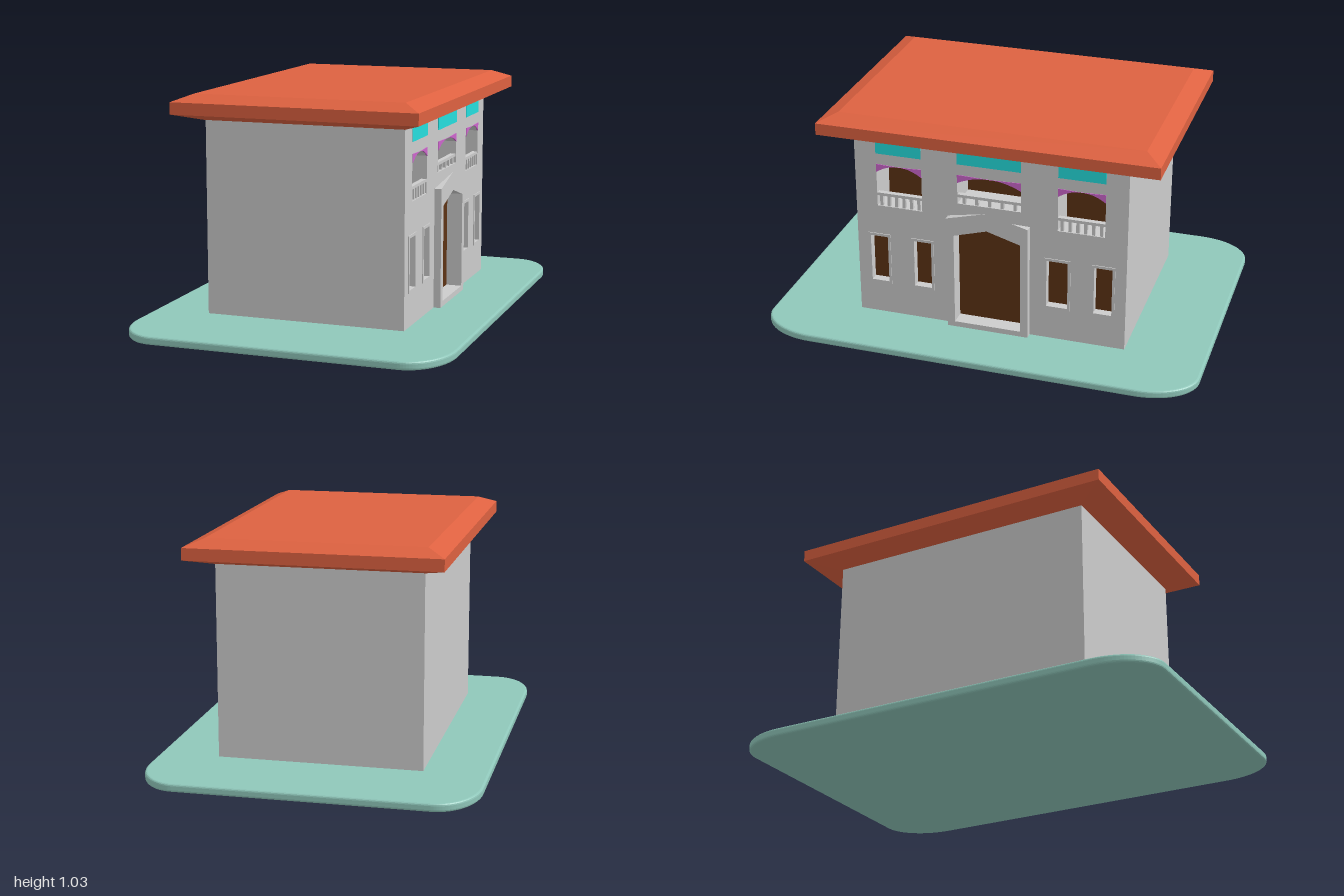
import * as THREE from 'three';

const mat = (color) => new THREE.MeshStandardMaterial({ color });

export function createModel() {
  const house = new THREE.Group();
  house.name = 'house';
  const grey = mat(0xcccccc), green = mat(0x8fc7ba), red = mat(0xdd6140);
  const brown = mat(0x5c3214), cyan = mat(0x25dddd), purple = mat(0xcc66cc);

  const add = (name, geometry, material) => {
    const mesh = new THREE.Mesh(geometry, material);
    mesh.name = name;
    house.add(mesh);
    return mesh;
  };
  // Box given by its limits on each axis
  const box = (name, material, x0, x1, y0, y1, z0, z1) =>
    add(name, new THREE.BoxGeometry(x1 - x0, y1 - y0, z1 - z0), material)
      .position.set((x0 + x1) / 2, (y0 + y1) / 2, (z0 + z1) / 2);
  // Outline in the facade plane: u runs along -z, v is height
  const outline = (points) => new THREE.Shape(points.map(([u, v]) => new THREE.Vector2(u, v)));
  const rect = (u0, u1, v0, v1) => outline([[u0, v0], [u1, v0], [u1, v1], [u0, v1]]);
  const gable = (u0, u1, v0, v1, peak) =>
    outline([[u0, v0], [u1, v0], [u1, v1], [(u0 + u1) / 2, peak], [u0, v1]]);
  // Extrude a facade outline from x0 to x1
  const facade = (name, material, shape, x0, x1) => {
    const geometry = new THREE.ExtrudeGeometry(shape, { depth: x1 - x0, bevelEnabled: false, curveSegments: 12 });
    const mesh = add(name, geometry, material);
    mesh.rotation.y = Math.PI / 2;
    mesh.position.x = x0;
    return mesh;
  };

  // Ground plate with elliptical corners and a soft rim
  const b = 0.01, w = 0.73 - b, l = 1 - b, rx = 0.17, rz = 0.24;
  const plate = new THREE.Shape();
  plate.absellipse(w - rx, l - rz, rx, rz, 0, Math.PI / 2);
  plate.absellipse(rx - w, l - rz, rx, rz, Math.PI / 2, Math.PI);
  plate.absellipse(rx - w, rz - l, rx, rz, Math.PI, Math.PI * 1.5);
  plate.absellipse(w - rx, rz - l, rx, rz, Math.PI * 1.5, Math.PI * 2);
  const ground = add('groundPlate', new THREE.ExtrudeGeometry(plate, {
    depth: 0.017, bevelThickness: b, bevelSize: b, bevelSegments: 3, curveSegments: 12,
  }), green);
  ground.rotation.x = -Math.PI / 2;
  ground.position.y = b;

  // Solid body behind the facade
  const back = 0.3, wall = 0.45;
  box('body', grey, -0.455, back, 0.05, 0.92, -0.64, 0.6);

  // Facade wall, its openings collected as holes
  const wallShape = rect(-0.6, 0.64, 0.05, 0.92);

  // Lower windows with thin frames and brown panes
  for (const [u0, u1] of [[-0.55, -0.445], [-0.345, -0.24], [0.27, 0.39], [0.485, 0.59]]) {
    const t = 0.012;
    wallShape.holes.push(rect(u0 + t, u1 - t, 0.2 + t, 0.45 - t));
    const frame = rect(u0, u1, 0.2, 0.45);
    frame.holes.push(rect(u0 + t, u1 - t, 0.2 + t, 0.45 - t));
    facade('windowFrame', grey, frame, wall - 0.01, wall + 0.004);
    box('windowPane', brown, back + 0.02, 0.415, 0.2, 0.45, -u1, -u0);
  }

  // Upper arched balconies with spandrels, railings and cyan panels
  for (const [u0, u1, sill, count] of [[-0.5, -0.29, 0.59, 6], [-0.125, 0.165, 0.655, 5], [0.33, 0.54, 0.59, 6]]) {
    const mid = (u0 + u1) / 2, spring = 0.755, top = 0.79;
    const arch = new THREE.Shape();
    arch.moveTo(u0, sill);
    arch.lineTo(u1, sill);
    arch.lineTo(u1, spring);
    arch.quadraticCurveTo((u1 + mid) / 2, top + 0.002, mid, top);
    arch.quadraticCurveTo((u0 + mid) / 2, top + 0.002, u0, spring);
    wallShape.holes.push(arch);

    for (const u of [u0, u1]) {
      const spandrel = new THREE.Shape();
      spandrel.moveTo(u, spring);
      spandrel.quadraticCurveTo((u + mid) / 2, top + 0.002, mid, top);
      spandrel.lineTo(u, top + 0.004);
      facade('archSpandrel', purple, spandrel, wall - 0.004, wall + 0.003);
    }
    box('balconyBack', brown, back - 0.01, back + 0.005, sill, 0.8, -u1, -u0);
    facade('upperPanel', cyan, rect(u0, u1, 0.845, 0.912), wall - 0.004, wall + 0.003);

    const railY = sill + (count === 5 ? 0.03 : 0.05);
    box('balconyRail', grey, 0.425, 0.448, railY, railY + 0.013, -u1, -u0);
    for (let i = 0; i < count; i++) {
      const z = -(u0 + ((i + 0.5) * (u1 - u0)) / count);
      box('baluster', grey, 0.428, 0.445, sill, railY, z - 0.007, z + 0.007);
    }
  }

  // Portal: gabled surround whose top slopes back down to the wall
  const opening = () => gable(-0.135, 0.17, 0.075, 0.51, 0.555);
  wallShape.holes.push(opening());
  const portalShape = gable(-0.17, 0.205, 0.05, 0.59, 0.64);
  portalShape.holes.push(opening());
  const portal = facade('portalSurround', grey, portalShape, wall, 0.482);
  const pp = portal.geometry.attributes.position;
  for (let i = 0; i < pp.count; i++) {
    if (pp.getY(i) > 0.6 && pp.getZ(i) < 0.01) pp.setY(i, 0.595);
  }
  portal.geometry.computeVertexNormals();
  facade('door', brown, gable(-0.15, 0.18, 0.06, 0.52, 0.57), back + 0.02, 0.41);

  facade('facadeWall', grey, wallShape, back, wall);

  // Roof slab: flares out from the walls, then bevels in to a flat top
  const levels = [[0.91, 0.455, 0.63], [0.945, 0.555, 0.7625], [0.998, 0.555, 0.7625], [1.03, 0.475, 0.685]];
  const roof = new THREE.BoxGeometry(1, 1, 1, 1, 3, 1).toNonIndexed();
  const rp = roof.attributes.position;
  for (let i = 0; i < rp.count; i++) {
    const [y, hx, hz] = levels[Math.round((rp.getY(i) + 0.5) * 3)];
    rp.setXYZ(i, Math.sign(rp.getX(i)) * hx - 0.005, y, Math.sign(rp.getZ(i)) * hz - 0.0275);
  }
  roof.computeVertexNormals();
  add('roof', roof, red);

  return house;
}
